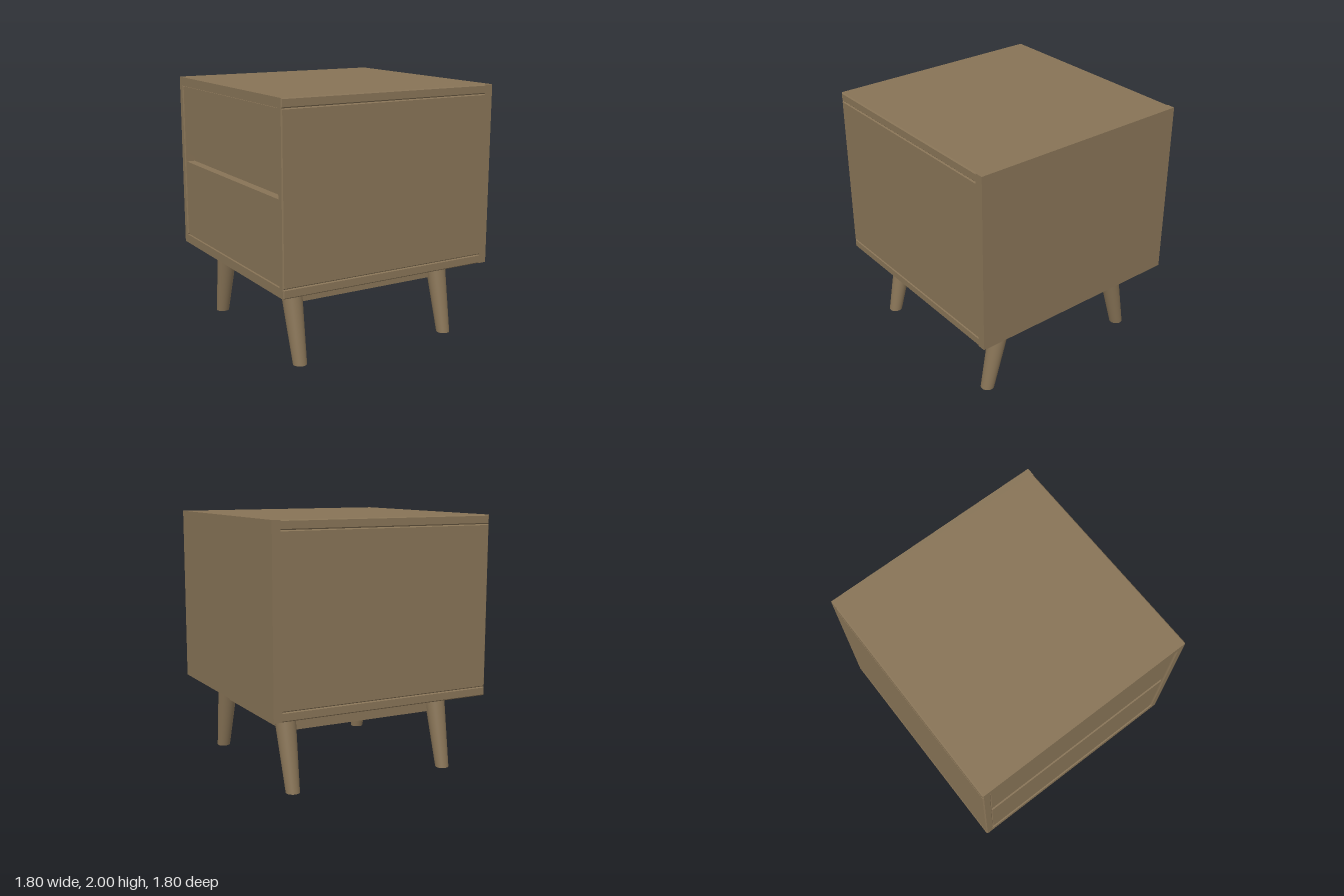
import * as THREE from 'three';

const wood = new THREE.MeshStandardMaterial({ color: 0x877356 });
wood.name = 'brown wood';

// Board given by its limits, with a small chamfer on every edge
function board(name, x0, x1, y0, y1, z0, z1, c = 0.008) {
  const w = (x1 - x0) / 2 - c, h = (y1 - y0) / 2 - c;
  const s = new THREE.Shape();
  s.moveTo(-w, -h).lineTo(w, -h).lineTo(w, h).lineTo(-w, h).closePath();
  const g = new THREE.ExtrudeGeometry(s, {
    depth: z1 - z0 - 2 * c, bevelEnabled: true, bevelSegments: 1, bevelSize: c, bevelThickness: c,
  });
  g.translate((x0 + x1) / 2, (y0 + y1) / 2, z0 + c);
  const m = new THREE.Mesh(g, wood);
  m.name = name;
  return m;
}

// Plain sharp-edged block given by its limits
function block(name, x0, x1, y0, y1, z0, z1) {
  const m = new THREE.Mesh(new THREE.BoxGeometry(x1 - x0, y1 - y0, z1 - z0), wood);
  m.position.set((x0 + x1) / 2, (y0 + y1) / 2, (z0 + z1) / 2);
  m.name = name;
  return m;
}

// Tapered round leg, sheared outward in z so both ends stay level
function leg(sx, sz) {
  const g = new THREE.CylinderGeometry(0.083, 0.053, 0.6, 40);
  const shear = new THREE.Matrix4();
  shear.elements[6] = -sz * 0.14 / 0.6;
  g.applyMatrix4(shear);
  const m = new THREE.Mesh(g, wood);
  m.position.set(sx * 0.66, 0.3, sz * 0.623);
  m.name = 'leg';
  return m;
}

export function createModel() {
  const model = new THREE.Group();
  model.name = 'nightstand';

  // Cabinet shell: the drawers open towards -x, the back panel closes +x
  const shell = new THREE.Group();
  shell.name = 'cabinet';
  shell.add(
    board('topBoard', -0.9, 0.845, 1.93, 2, -0.9, 0.9),
    board('bottomBoard', -0.9, 0.845, 0.6, 0.67, -0.9, 0.9),
    block('backPanel', 0.835, 0.9, 0.6, 2, -0.9, 0.9),
    board('sidePanel', -0.9, 0.845, 0.67, 1.93, 0.835, 0.9),
    board('sidePanel', -0.9, 0.845, 0.67, 1.93, -0.9, -0.835),
    block('innerWall', -0.82, -0.8, 0.665, 1.935, -0.84, 0.84),
  );

  // Two drawer fronts with a finger gap between them
  const drawers = new THREE.Group();
  drawers.name = 'drawers';
  drawers.add(
    board('upperDrawer', -0.89, -0.81, 1.37, 1.925, -0.83, 0.83, 0.004),
    board('lowerDrawer', -0.89, -0.81, 0.675, 1.3, -0.83, 0.83, 0.004),
  );

  // Apron frame and splayed legs
  const base = new THREE.Group();
  base.name = 'base';
  for (const s of [-1, 1]) {
    const x = s * 0.64, z = s * 0.545;
    base.add(block('longApron', -0.67, 0.67, 0.435, 0.6, z - 0.03, z + 0.03));
    base.add(block('sideApron', x - 0.03, x + 0.03, 0.435, 0.6, -0.515, 0.515));
    base.add(leg(s, 1), leg(s, -1));
  }

  model.add(shell, drawers, base);
  return model;
}
